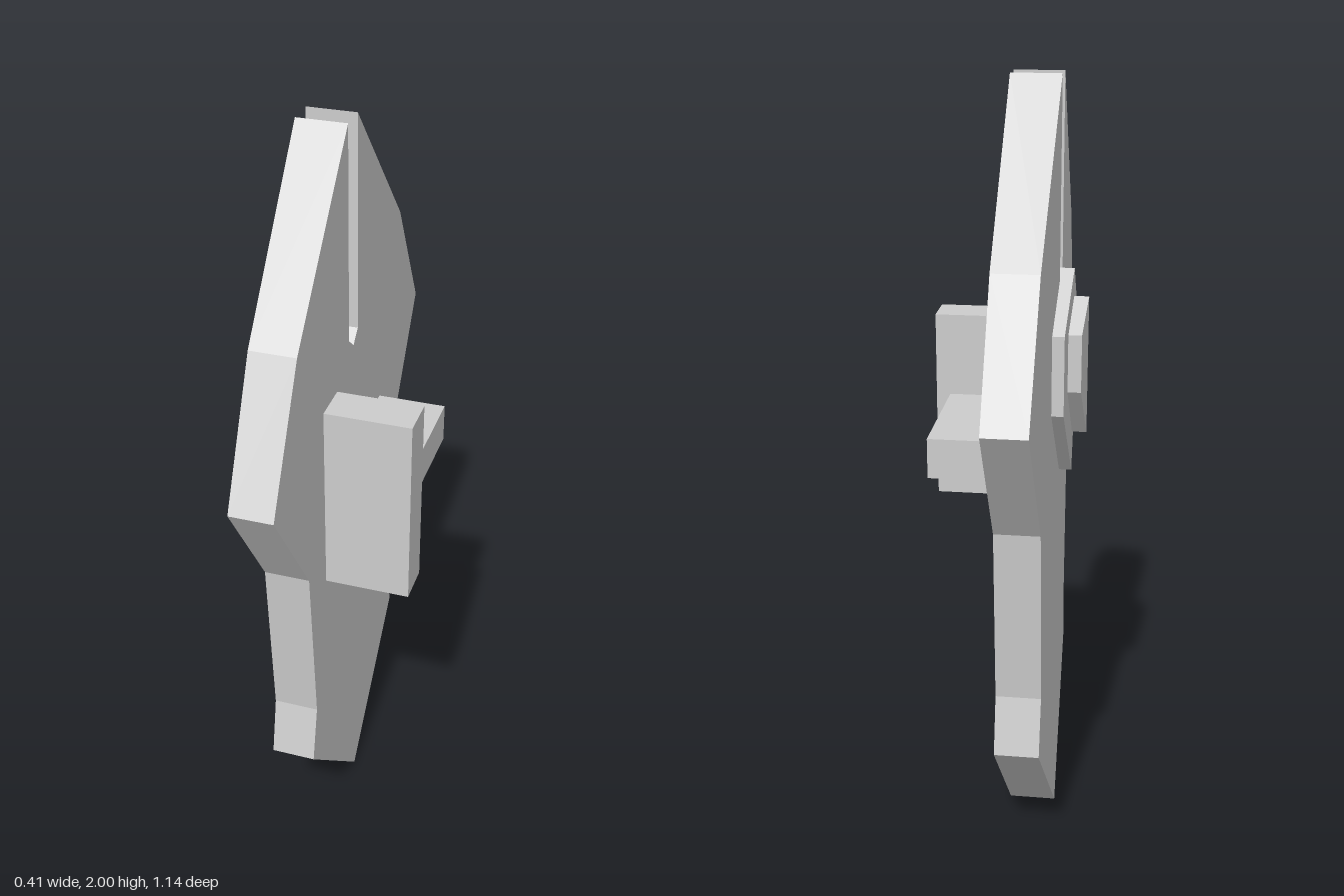
import * as THREE from 'three';

const grey = new THREE.MeshStandardMaterial({ color: 0xcccccc });
grey.name = 'grey';

// Mirrored plate: a half outline of [z, y] points, flat at x = inner,
// with an outer face running from x = ridge at z = 0 to x = edge at z = width.
function ridgedPlate(name, outline, inner, ridge, edge, width) {
  const shape = new THREE.Shape(outline.map(([z, y]) => new THREE.Vector2(z, y)));
  const half = new THREE.ExtrudeGeometry(shape, { depth: 1, bevelEnabled: false });
  const src = half.attributes.position;
  const pos = [];
  for (let i = 0; i < src.count; i += 3) {
    const tri = [0, 1, 2].map((k) => {
      const z = src.getX(i + k);
      const outer = ridge + (edge - ridge) * (z / width);
      return [src.getZ(i + k) > 0.5 ? outer : inner, src.getY(i + k), z];
    });
    // Leave out the hidden wall between the two halves
    if (tri.every((p) => Math.abs(p[2]) < 1e-5)) continue;
    pos.push(...tri.flat());
    for (const k of [0, 2, 1]) pos.push(tri[k][0], tri[k][1], -tri[k][2]);
  }
  const geo = new THREE.BufferGeometry();
  geo.setAttribute('position', new THREE.Float32BufferAttribute(pos, 3));
  geo.computeVertexNormals();
  const mesh = new THREE.Mesh(geo, grey);
  mesh.name = name;
  return mesh;
}

// Box given by its lowest and highest corners
function block(name, min, max) {
  const size = max.map((v, i) => v - min[i]);
  const mesh = new THREE.Mesh(new THREE.BoxGeometry(...size), grey);
  mesh.position.set(...max.map((v, i) => (v + min[i]) / 2));
  mesh.name = name;
  return mesh;
}

export function createModel() {
  const model = new THREE.Group();
  model.name = 'shield';

  // Shield body with a slot cut down from the top
  model.add(ridgedPlate('shieldBody', [
    [0, 1.43], [0.035, 1.46], [0.035, 2], [0.395, 1.61], [0.57, 1.29],
    [0.355, 0.97], [0.32, 0.51], [0.355, 0.36], [0, 0],
  ], -0.012, -0.136, -0.12, 0.57));

  // Two stacked six-sided bosses on the outer face
  model.add(ridgedPlate('lowerBoss',
    [[0, 1.535], [0.178, 1.41], [0.178, 1.21], [0, 1.005]],
    -0.125, -0.168, -0.161, 0.178));
  model.add(ridgedPlate('upperBoss',
    [[0, 1.465], [0.108, 1.395], [0.108, 1.25], [0, 1.11]],
    -0.16, -0.205, -0.197, 0.108));

  // Grip and arm bar on the inner face
  model.add(block('grip', [-0.02, 0.875, 0.127], [0.203, 1.372, 0.23]));
  model.add(block('armBar', [-0.02, 1.054, -0.226], [0.167, 1.156, 0.13]));

  return model;
}
